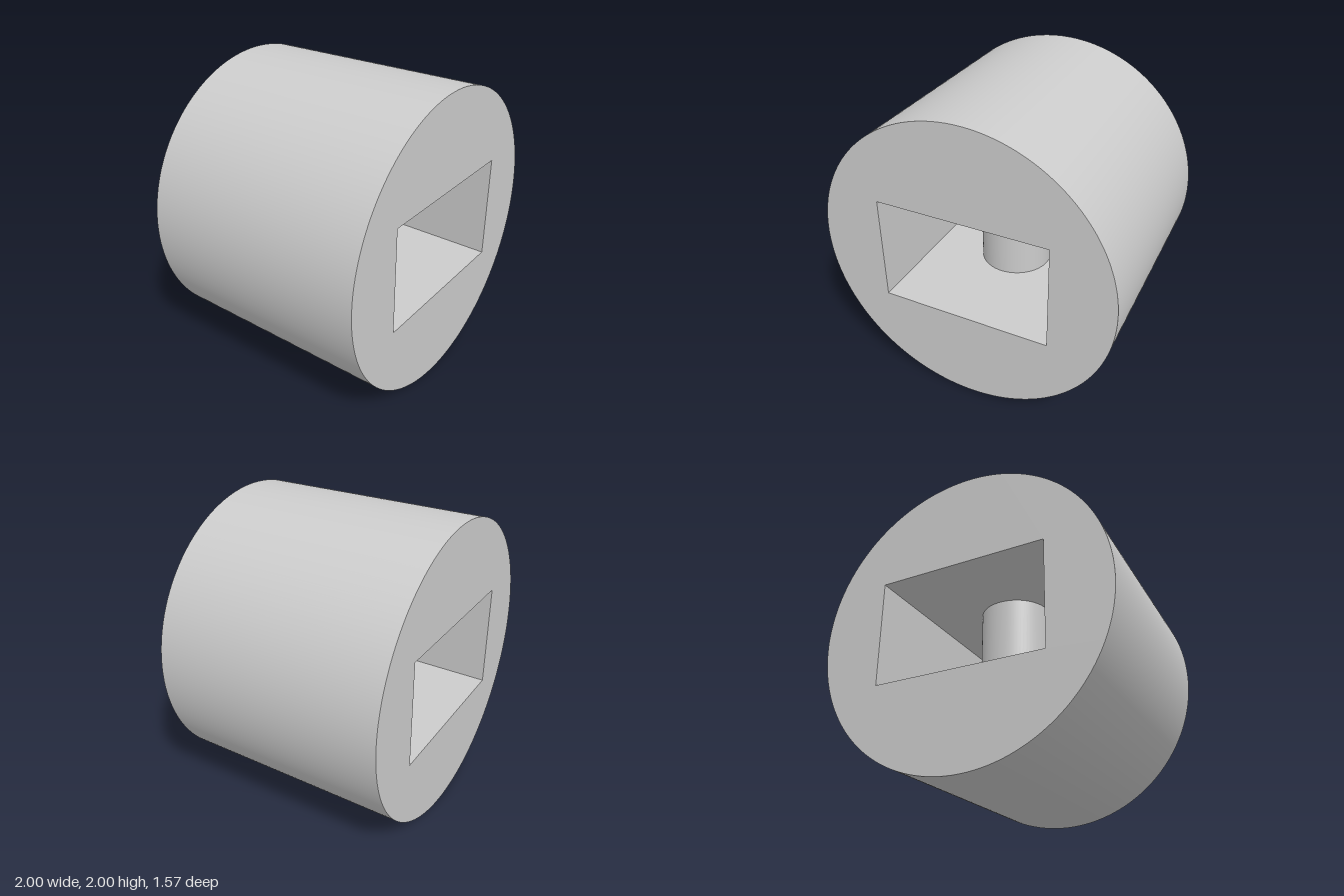
import * as THREE from 'three';
import { toCreasedNormals } from 'three/addons/utils/BufferGeometryUtils.js';

export function createModel() {
  const group = new THREE.Group();
  const material = new THREE.MeshStandardMaterial({ color: 0xcccccc });
  const radius = 1, depth = 1.57;
  const slotHalfWidth = 0.575, slotHalfHeight = 0.36, pinRadius = 0.243;

  // Round body lying along z, with a rectangular slot right through it
  const profile = new THREE.Shape().absarc(0, 0, radius, 0, Math.PI * 2, false);
  const slot = new THREE.Path([
    [-1, -1], [-1, 1], [1, 1], [1, -1],
  ].map(([x, y]) => new THREE.Vector2(x * slotHalfWidth, y * slotHalfHeight)));
  slot.closePath();
  profile.holes.push(slot);
  const bodyGeometry = new THREE.ExtrudeGeometry(profile, { depth, bevelEnabled: false, curveSegments: 128 });
  bodyGeometry.translate(0, radius, -depth / 2);
  const body = new THREE.Mesh(toCreasedNormals(bodyGeometry, Math.PI / 6), material);
  body.name = 'slottedBody';
  group.add(body);

  // Upright pin joining the slot's floor and ceiling
  const pin = new THREE.Mesh(
    new THREE.CylinderGeometry(pinRadius, pinRadius, slotHalfHeight * 2, 64, 1, true), material);
  pin.name = 'crossPin';
  pin.position.y = radius;
  group.add(pin);

  return group;
}
